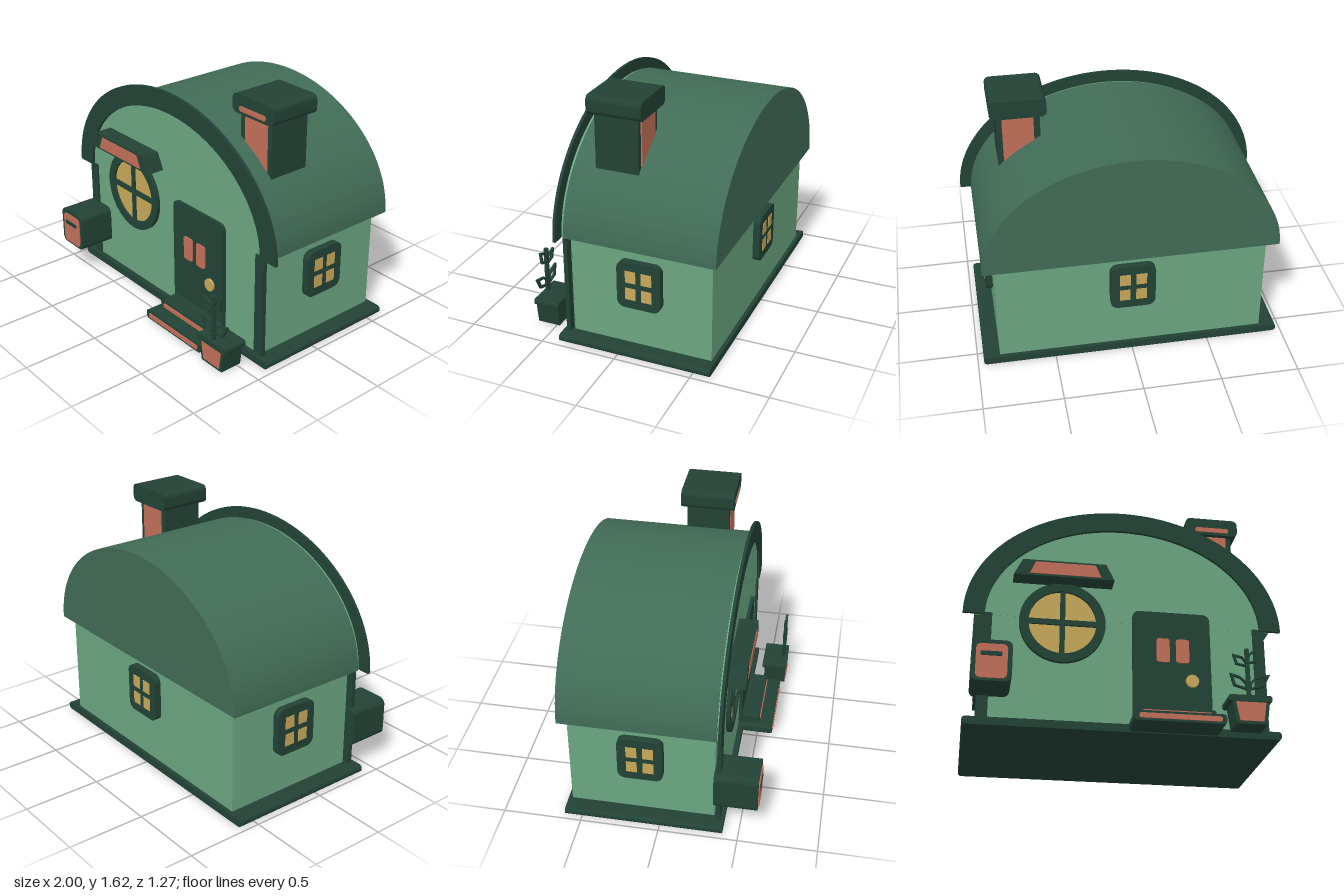
import * as THREE from 'three';

const mat = (name, color) => {
  const m = new THREE.MeshStandardMaterial({ color });
  m.name = name;
  return m;
};

// Closed polygon from [x, y] pairs
const poly = (pts) => new THREE.Shape(pts.map(([x, y]) => new THREE.Vector2(x, y)));

// Rectangle x0..x1, y0..y1 with rounded corners
function round(x0, x1, y0, y1, r) {
  const s = new THREE.Shape(), q = Math.PI / 2;
  s.absarc(x1 - r, y0 + r, r, -q, 0);
  s.absarc(x1 - r, y1 - r, r, 0, q);
  s.absarc(x0 + r, y1 - r, r, q, 2 * q);
  s.absarc(x0 + r, y0 + r, r, 2 * q, 3 * q);
  s.closePath();
  return s;
}

const EAVES = 0.73;
// Upper half of an ellipse standing on the eaves line
function dome(a, b) {
  const s = new THREE.Shape();
  s.absellipse(0, EAVES, a, b, 0, Math.PI, false, 0);
  s.closePath();
  return s;
}

export function createModel() {
  const model = new THREE.Group();
  model.name = 'cottage';
  const wall = mat('wallGreen', 0x6ba681);
  const roofM = mat('roofGreen', 0x416c56);
  const trim = mat('trimGreen', 0x224235);
  const coral = mat('coral', 0xc27058);
  const gold = mat('gold', 0xc8a95a);

  // Extrude a front-facing shape from z0 to z1
  function plate(name, shape, material, z0, z1, parent = model, seg = 8) {
    const g = new THREE.ExtrudeGeometry(shape, { depth: z1 - z0, bevelEnabled: false, curveSegments: seg });
    g.translate(0, 0, z0);
    const m = new THREE.Mesh(g, material);
    m.name = name;
    parent.add(m);
    return m;
  }
  function box(name, material, x0, x1, y0, y1, z0, z1, parent = model) {
    const m = new THREE.Mesh(new THREE.BoxGeometry(x1 - x0, y1 - y0, z1 - z0), material);
    m.position.set((x0 + x1) / 2, (y0 + y1) / 2, (z0 + z1) / 2);
    m.name = name;
    parent.add(m);
    return m;
  }
  function group(name) {
    const g = new THREE.Group();
    g.name = name;
    model.add(g);
    return g;
  }

  // Shell of the house
  plate('base', round(-0.967, 0.962, 0, 0.05, 0.022), trim, -0.61, 0.4);
  box('walls', wall, -0.857, 0.857, 0.03, EAVES, -0.585, 0.335);
  plate('roof', dome(0.93, 0.715), roofM, -0.63, 0.35, model, 32);
  box('frontWall', wall, -0.84, 0.84, 0.03, EAVES, 0.346, 0.365);
  plate('gable', dome(0.92, 0.71), wall, 0.35, 0.366, model, 32);
  for (const s of [-1, 1]) box('post', trim, s * 0.855 - 0.036, s * 0.855 + 0.036, 0.05, 0.74, 0.35, 0.378);

  // Arched trim over the front
  const arch = new THREE.Shape();
  arch.absellipse(0, EAVES, 1, 0.783, 0, Math.PI, false, 0);
  arch.absellipse(0, EAVES, 0.865, 0.65, Math.PI, 0, true, 0);
  arch.closePath();
  plate('archTrim', arch, trim, 0.366, 0.385, model, 40);

  // Four-pane windows on the sides and back
  function paneWindow(x, y, z, turn) {
    const g = group('smallWindow');
    plate('windowFrame', round(-0.143, 0.143, -0.157, 0.157, 0.05), trim, 0, 0.045, g);
    for (const sx of [-1, 1]) for (const sy of [-1, 1]) {
      const cx = sx * 0.052, cy = sy * 0.058;
      box('pane', gold, cx - 0.034, cx + 0.034, cy - 0.04, cy + 0.04, 0.044, 0.048, g);
    }
    g.position.set(x, y, z);
    g.rotation.y = turn;
  }
  paneWindow(0.857, 0.482, -0.127, Math.PI / 2);
  paneWindow(-0.857, 0.482, -0.127, -Math.PI / 2);
  paneWindow(0, 0.517, -0.585, Math.PI);

  // Round front window
  const rw = group('roundWindow');
  const ring = new THREE.Shape();
  ring.absarc(0, 0, 0.268, 0, Math.PI * 2);
  const hole = new THREE.Path();
  hole.absarc(0, 0, 0.21, 0, Math.PI * 2, true);
  ring.holes.push(hole);
  plate('windowRing', ring, trim, 0.36, 0.39, rw, 32);
  const disc = new THREE.Shape();
  disc.absarc(0, 0, 0.215, 0, Math.PI * 2);
  plate('glass', disc, gold, 0.366, 0.374, rw, 32);
  box('verticalBar', trim, -0.016, 0.016, -0.215, 0.215, 0.366, 0.386, rw);
  box('crossBar', trim, -0.215, 0.215, -0.018, 0.018, 0.366, 0.386, rw);
  rw.position.set(-0.387, 0.7, 0);

  // Awning above it
  plate('awning', poly([[-0.703, 0.962], [-0.077, 0.962], [-0.13, 1.07], [-0.65, 1.07]]), trim, 0.36, 0.486);
  plate('awningPanel', poly([[-0.605, 0.975], [-0.16, 0.975], [-0.197, 1.057], [-0.57, 1.057]]), coral, 0.485, 0.49);

  // Door with two panels and a knob
  plate('door', round(0.05, 0.54, 0.05, 0.813, 0.045), trim, 0.36, 0.388);
  for (const x of [0.235, 0.357])
    plate('doorPanel', round(x - 0.041, x + 0.041, 0.46, 0.618, 0.016), coral, 0.412, 0.421);
  const knob = new THREE.Mesh(new THREE.CylinderGeometry(0.041, 0.041, 0.025, 20), gold);
  knob.name = 'doorKnob';
  knob.rotation.x = Math.PI / 2;
  knob.position.set(0.418, 0.352, 0.392);
  model.add(knob);

  // Steps with inset fronts
  plate('upperStep', round(0.058, 0.532, 0.06, 0.125, 0.015), trim, 0.36, 0.508);
  plate('upperStepPanel', round(0.087, 0.507, 0.078, 0.108, 0.012), coral, 0.507, 0.514);
  plate('lowerStep', round(0.022, 0.572, 0.006, 0.068, 0.018), trim, 0.36, 0.6);
  plate('lowerStepPanel', round(0.05, 0.545, 0.02, 0.052, 0.012), coral, 0.599, 0.605);

  // Mailbox
  plate('mailbox', round(-0.934, -0.694, 0.192, 0.45, 0.04), trim, 0.335, 0.61);
  plate('mailboxFront', round(-0.907, -0.722, 0.208, 0.422, 0.03), coral, 0.609, 0.617);
  plate('mailSlot', round(-0.88, -0.755, 0.346, 0.373, 0.008), trim, 0.616, 0.622);

  // Flower pot
  plate('potBody', poly([[0.622, 0.006], [0.808, 0.006], [0.828, 0.15], [0.602, 0.15]]), trim, 0.478, 0.628);
  plate('potPanel', poly([[0.643, 0.024], [0.787, 0.024], [0.805, 0.142], [0.623, 0.142]]), coral, 0.627, 0.633);
  const rim = round(0.58, 0.843, 0.146, 0.185, 0.012);
  plate('potRim', rim, trim, 0.465, 0.634);

  // Plant: stem with hollow leaves
  box('stem', trim, 0.697, 0.72, 0.18, 0.492, 0.595, 0.618);
  const leaves = [
    [[0.705, 0.225], [0.71, 0.262], [0.66, 0.312], [0.597, 0.33], [0.617, 0.25]],
    [[0.71, 0.225], [0.805, 0.25], [0.845, 0.332], [0.755, 0.31], [0.708, 0.262]],
    [[0.705, 0.375], [0.705, 0.405], [0.68, 0.44], [0.618, 0.455], [0.637, 0.39]],
    [[0.712, 0.395], [0.772, 0.41], [0.786, 0.497], [0.728, 0.47], [0.71, 0.425]],
  ];
  for (const pts of leaves) {
    const cx = pts.reduce((t, p) => t + p[0], 0) / pts.length;
    const cy = pts.reduce((t, p) => t + p[1], 0) / pts.length;
    const leaf = poly(pts);
    leaf.holes.push(poly(pts.map(([x, y]) => [cx + (x - cx) * 0.66, cy + (y - cy) * 0.66])));
    plate('leaf', leaf, trim, 0.598, 0.615);
  }

  // Chimney with inset faces and a rounded cap
  box('chimney', trim, 0.485, 0.755, 1.145, 1.5, -0.075, 0.205);
  box('chimneyFront', coral, 0.525, 0.72, 1.19, 1.495, 0.204, 0.209);
  box('chimneyBack', coral, 0.525, 0.72, 1.19, 1.495, -0.083, -0.074);
  plate('chimneyCap', round(0.444, 0.796, 1.495, 1.615, 0.035), trim, -0.11, 0.238);
  plate('capStrip', round(0.508, 0.733, 1.514, 1.547, 0.012), coral, 0.237, 0.242);
  return model;
}
